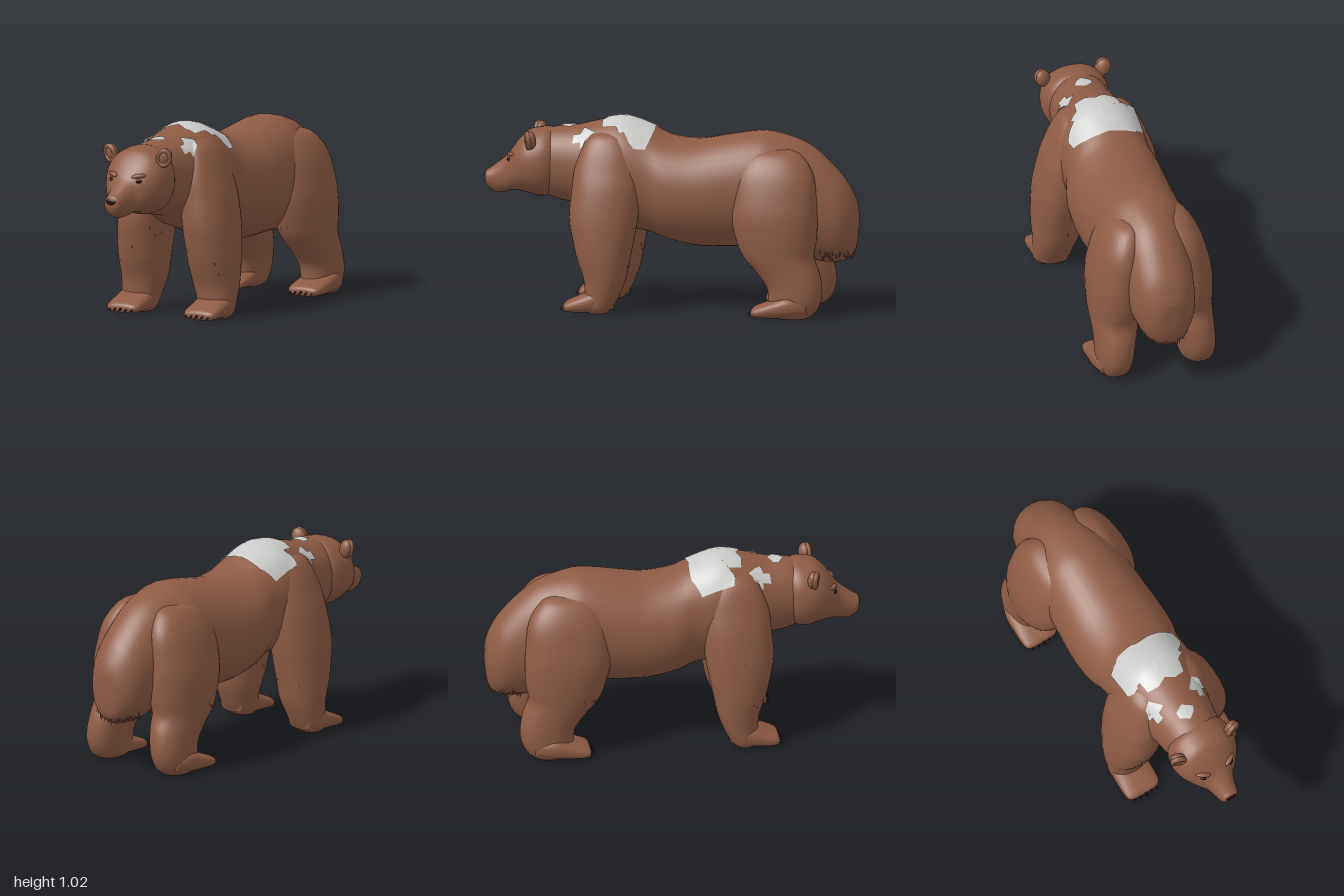
import * as THREE from 'three';
import { mergeGeometries } from 'three/addons/utils/BufferGeometryUtils.js';

const material = (name, color) => {
  const m = new THREE.MeshStandardMaterial({ color });
  m.name = name;
  return m;
};

// Smooth closed skin through oval sections [t, aMin, aMax, bMin, bMax];
// axis 'z': a = x, b = y.  axis 'y': a = x, b = z.
function loft(sections, axis, side = 1, power = 2.2, seg = 32, sub = 4) {
  const pos = [], idx = [], n = sections.length;
  const point = (t, a, b) => pos.push(side * a, ...(axis === 'z' ? [b, t] : [t, b]));
  const sample = (f) => {
    const i = Math.min(Math.floor(f), n - 2), u = f - i;
    const s = (k) => sections[Math.max(0, Math.min(n - 1, k))];
    return s(i).map((p1, c) => {
      const p0 = s(i - 1)[c], p2 = s(i + 1)[c], p3 = s(i + 2)[c];
      return p1 + 0.5 * u * (p2 - p0 + u * (2 * p0 - 5 * p1 + 4 * p2 - p3 + u * (3 * (p1 - p2) + p3 - p0)));
    });
  };
  const rows = (n - 1) * sub + 1;
  const bend = (v) => Math.sign(v) * Math.abs(v) ** (2 / power);
  for (let r = 0; r < rows; r++) {
    const [t, a0, a1, b0, b1] = sample(r / sub);
    for (let k = 0; k < seg; k++) {
      const q = (k / seg) * Math.PI * 2;
      point(t, (a0 + a1) / 2 + bend(Math.cos(q)) * (a1 - a0) / 2, (b0 + b1) / 2 + bend(Math.sin(q)) * (b1 - b0) / 2);
    }
  }
  for (const s of [sections[0], sections[n - 1]]) point(s[0], (s[1] + s[2]) / 2, (s[3] + s[4]) / 2);
  const start = rows * seg, last = (rows - 1) * seg;
  for (let k = 0; k < seg; k++) {
    const j = (k + 1) % seg;
    for (let r = 0; r < rows - 1; r++) {
      const a = r * seg + k, b = r * seg + j;
      idx.push(a, b, b + seg, a, b + seg, a + seg);
    }
    idx.push(start, j, k, start + 1, last + k, last + j);
  }
  // Turn the skin outward when its volume is negative
  const v = (i) => new THREE.Vector3().fromArray(pos, i * 3);
  let volume = 0;
  for (let i = 0; i < idx.length; i += 3) volume += v(idx[i]).dot(v(idx[i + 1]).cross(v(idx[i + 2])));
  if (volume < 0) idx.reverse();
  const g = new THREE.BufferGeometry();
  g.setAttribute('position', new THREE.Float32BufferAttribute(pos, 3));
  g.setIndex(idx);
  g.computeVertexNormals();
  return g;
}

// Nearest surface point along a ray, lifted along the normal
function snap(targets, origin, dir, lift = 0) {
  const hit = new THREE.Raycaster(origin, dir.normalize()).intersectObjects(targets, false)[0];
  return hit ? hit.point.addScaledVector(hit.face.normal, lift) : null;
}

// Thin patch laid over the back: an outline of [x, z] filled with rings
function patchGeometry(targets, [cx, cz], outline) {
  const pos = [], idx = [], rings = 8, cut = 4, m = outline.length * cut;
  for (let r = 0; r <= rings; r++) for (let k = 0; k < m; k++) {
    const i = Math.floor(k / cut), u = (k % cut) / cut, a = outline[i], b = outline[(i + 1) % outline.length];
    const x = cx + (a[0] + (b[0] - a[0]) * u - cx) * r / rings;
    const z = cz + (a[1] + (b[1] - a[1]) * u - cz) * r / rings;
    pos.push(...snap(targets, new THREE.Vector3(x, 2, z), new THREE.Vector3(0, -1, 0), 0.006).toArray());
    const j = (k + 1) % m, o = r * m;
    if (r < rings) idx.push(o + k, o + m + j, o + m + k, o + k, o + j, o + m + j);
  }
  const g = new THREE.BufferGeometry();
  g.setAttribute('position', new THREE.Float32BufferAttribute(pos, 3));
  g.setIndex(idx);
  g.computeVertexNormals();
  return g;
}

export function createModel() {
  const bear = new THREE.Group();
  bear.name = 'bear';
  const brown = material('brown fur', 0x8f5c45);
  const silver = material('silver fur', 0xcbcbc9);
  const dark = material('dark claw and nose', 0x2a0c0c);
  silver.side = THREE.DoubleSide;
  const add = (name, geometry, mat) => {
    const mesh = new THREE.Mesh(geometry, mat);
    mesh.name = name;
    bear.add(mesh);
    return mesh;
  };
  const ball = (rx, ry, rz) => new THREE.SphereGeometry(1, 20, 14).scale(rx, ry, rz);
  let seed = 7;
  const rand = () => (seed = (seed * 16807) % 2147483647) / 2147483647;

  // Hanging fur tufts around an upright axis
  const fur = (name, target, ax, az, [y0, y1], [q0, q1], count) => {
    const parts = [];
    for (let i = 0; i < count; i++) {
      const q = q0 + (q1 - q0) * (i + rand()) / count, y = y0 + (y1 - y0) * rand();
      const d = new THREE.Vector3(Math.sin(q), 0, Math.cos(q));
      const p = snap([target], new THREE.Vector3(ax, y, az).addScaledVector(d, 1), d.clone().negate());
      if (!p) continue;
      p.addScaledVector(d, -0.008);
      parts.push(new THREE.ConeGeometry(0.012, 0.06, 4).rotateX(Math.PI - 0.22).rotateY(q).translate(p.x, p.y, p.z));
    }
    add(name, mergeGeometries(parts), brown);
  };

  // Trunk, rump and neck: z, half width, bottom, top
  const ovals = (list) => list.map(([z, w, b, t]) => [z, -w, w, b, t]);
  const body = add('body', loft(ovals([
    [-1, 0.04, 0.43, 0.56], [-0.985, 0.09, 0.33, 0.61], [-0.95, 0.13, 0.285, 0.68], [-0.9, 0.16, 0.27, 0.745],
    [-0.8, 0.18, 0.27, 0.845], [-0.7, 0.2, 0.3, 0.91], [-0.55, 0.24, 0.33, 0.953], [-0.45, 0.25, 0.34, 0.955],
    [-0.3, 0.26, 0.335, 0.93], [-0.15, 0.27, 0.335, 0.905], [0, 0.265, 0.365, 0.92], [0.1, 0.24, 0.4, 0.965],
    [0.25, 0.24, 0.43, 1.012], [0.4, 0.21, 0.48, 0.985], [0.5, 0.18, 0.54, 0.96], [0.6, 0.165, 0.56, 0.95],
    [0.7, 0.15, 0.6, 0.925],
  ]), 'z', 1, 2.1, 40), brown);
  fur('rumpFur', body, 0, -0.82, [0.3, 0.36], [Math.PI * 0.5, Math.PI * 1.5], 46);

  // Head and muzzle
  const head = add('head', loft(ovals([
    [0.58, 0.13, 0.62, 0.9], [0.64, 0.172, 0.585, 0.94], [0.7, 0.183, 0.575, 0.94], [0.76, 0.175, 0.59, 0.925],
    [0.81, 0.15, 0.6, 0.88], [0.85, 0.115, 0.6, 0.825], [0.88, 0.082, 0.59, 0.785], [0.93, 0.062, 0.585, 0.745],
    [0.97, 0.052, 0.605, 0.715], [0.988, 0.042, 0.63, 0.705], [0.994, 0.025, 0.65, 0.69],
  ]), 'z'), brown);
  add('nose', ball(0.043, 0.026, 0.022).translate(0, 0.677, 0.978), dark);

  // Legs: y, inner x, outer x, back z, front z
  const foreLeg = [
    [0.95, 0.08, 0.13, 0.27, 0.35], [0.92, 0.05, 0.19, 0.22, 0.42], [0.85, 0.05, 0.235, 0.17, 0.46],
    [0.75, 0.05, 0.275, 0.145, 0.49], [0.65, 0.05, 0.31, 0.135, 0.5], [0.5, 0.065, 0.34, 0.145, 0.51],
    [0.38, 0.075, 0.352, 0.165, 0.49], [0.28, 0.085, 0.355, 0.185, 0.465], [0.18, 0.1, 0.35, 0.205, 0.43],
    [0.1, 0.125, 0.345, 0.235, 0.42], [0.03, 0.14, 0.34, 0.27, 0.42], [0, 0.17, 0.31, 0.3, 0.4],
  ];
  const hindLeg = [
    [0.88, 0.08, 0.14, -0.65, -0.5], [0.85, 0.05, 0.21, -0.72, -0.43], [0.75, 0.05, 0.275, -0.79, -0.37],
    [0.6, 0.05, 0.32, -0.81, -0.355], [0.5, 0.05, 0.335, -0.815, -0.36], [0.4, 0.06, 0.335, -0.81, -0.385],
    [0.32, 0.08, 0.33, -0.8, -0.42], [0.24, 0.1, 0.325, -0.83, -0.49], [0.16, 0.12, 0.325, -0.845, -0.55],
    [0.09, 0.13, 0.325, -0.84, -0.56], [0.03, 0.14, 0.32, -0.81, -0.56], [0, 0.17, 0.3, -0.77, -0.6],
  ];
  // Paw running forward to its toes at z = tip
  const paw = (tip, length) => [
    [tip - length, 0.17, 0.31, 0.02, 0.1], [tip - length * 0.7, 0.14, 0.342, 0.004, 0.13],
    [tip - length * 0.4, 0.138, 0.345, 0, 0.1], [tip - length * 0.15, 0.14, 0.343, 0.002, 0.07],
    [tip - 0.01, 0.155, 0.33, 0.008, 0.055], [tip, 0.18, 0.3, 0.02, 0.04],
  ];

  const shoulders = [body];
  for (const [label, s] of [['left', 1], ['right', -1]]) {
    const fore = add(label + 'ForeLeg', loft(foreLeg, 'y', s), brown);
    const hind = add(label + 'HindLeg', loft(hindLeg, 'y', s), brown);
    shoulders.push(fore);
    fur(label + 'ForeLegFur', fore, s * 0.21, 0.32, [0.26, 0.5], [0, Math.PI * 2], 50);
    fur(label + 'HindLegFur', hind, s * 0.2, -0.6, [0.33, 0.42], [0, Math.PI * 2], 26);

    for (const [end, tip, length] of [['Fore', 0.53, 0.26], ['Hind', -0.475, 0.3]]) {
      add(label + end + 'Paw', loft(paw(tip, length), 'z', s, 2.6), brown);
      const claws = [];
      for (let i = 0; i < 5; i++) {
        const x = 0.172 + i * 0.034, back = Math.abs(i - 2) * 0.006;
        claws.push(new THREE.ConeGeometry(0.012, 0.055, 6).rotateX(Math.PI / 2 + 0.35).translate(s * x, 0.026, tip + 0.003 - back));
      }
      add(label + end + 'Claws', mergeGeometries(claws), dark);
    }

    // Ear with a raised rim
    const turn = (g) => g.rotateY(s * 0.3).rotateZ(-s * 0.35).translate(s * 0.165, 0.895, 0.725);
    add(label + 'Ear', turn(ball(0.04, 0.05, 0.028)), brown);
    add(label + 'EarRim', turn(new THREE.TorusGeometry(0.033, 0.011, 8, 24).scale(1, 1.2, 1.3).translate(0, 0, 0.015)), brown);

    // Eye and brow set into the face
    const face = (x, y) => snap([head], new THREE.Vector3(s * x, y, 2), new THREE.Vector3(0, 0, -1));
    const e = face(0.087, 0.776), b = face(0.08, 0.802);
    add(label + 'Eye', ball(0.015, 0.01, 0.007).rotateY(s * 0.6).translate(e.x, e.y, e.z), dark);
    add(label + 'Brow', ball(0.04, 0.013, 0.017).rotateY(s * 0.5).rotateZ(s * 0.15).translate(b.x, b.y, b.z - 0.003), brown);
  }

  // Silver patches over hump and neck
  add('humpPatch', patchGeometry(shoulders, [0, 0.2], [
    [0, 0.085], [0.06, 0.078], [0.13, 0.085], [0.19, 0.11], [0.2, 0.17], [0.185, 0.2], [0.15, 0.23], [0.16, 0.25],
    [0.12, 0.28], [0.11, 0.35], [0.05, 0.36], [0, 0.335], [-0.05, 0.36], [-0.11, 0.35], [-0.12, 0.28],
    [-0.16, 0.31], [-0.2, 0.3], [-0.2, 0.13], [-0.13, 0.085], [-0.06, 0.078],
  ]), silver);
  add('neckPatch', patchGeometry(shoulders, [0, 0.545], [[0, 0.5], [0.05, 0.535], [0.035, 0.565], [0, 0.59], [-0.045, 0.56], [-0.045, 0.525]]), silver);
  for (const [label, s] of [['left', 1], ['right', -1]]) {
    add(label + 'NeckPatch', patchGeometry(shoulders, [s * 0.13, 0.44], [
      [0.13, 0.385], [0.165, 0.41], [0.168, 0.46], [0.15, 0.46], [0.145, 0.505], [0.11, 0.5], [0.115, 0.465], [0.08, 0.45],
    ].map(([x, z]) => [s * x, z])), silver);
  }
  return bear;
}
